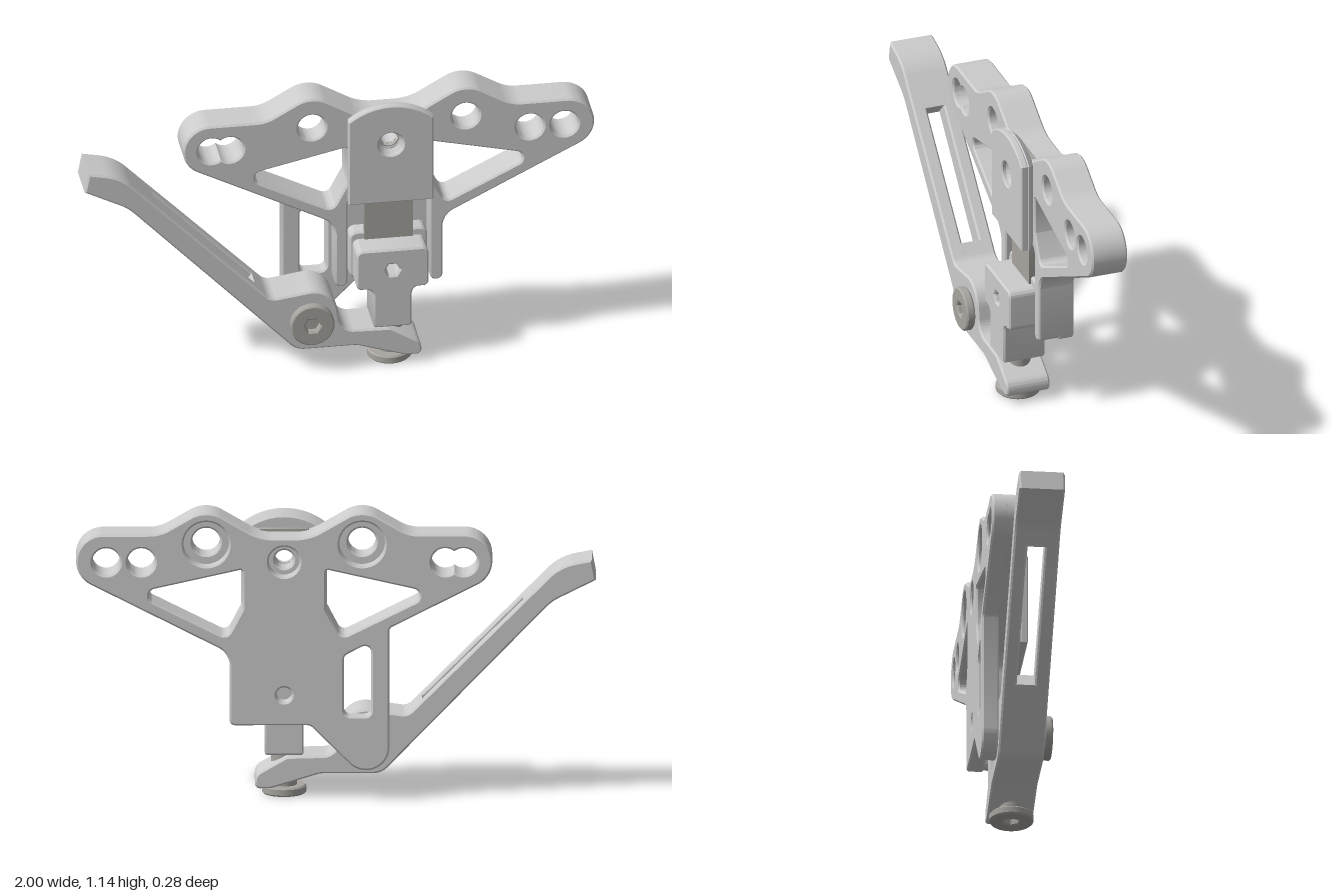
import * as THREE from 'three';
import { toCreasedNormals } from 'three/addons/utils/BufferGeometryUtils.js';

const body = new THREE.MeshStandardMaterial({ color: 0xcccccc });
const steel = new THREE.MeshStandardMaterial({ color: 0xa8a5a0 });
const MID = 0.2; // symmetry axis of the plate
const PIVOT = [-0.117, 0.215];

// Closed counter-clockwise path through [x, y, radius] corners, each filleted by its radius
function rounded(corners, path = new THREE.Shape()) {
  const area = THREE.ShapeUtils.area(corners.map(([x, y]) => ({ x, y })));
  const points = area < 0 ? [...corners].reverse() : corners;
  const n = points.length;
  points.forEach(([x, y, r = 0], i) => {
    const p = new THREE.Vector2(x, y);
    const toward = (q) => new THREE.Vector2(q[0], q[1]).sub(p).normalize();
    const u = toward(points[(i + n - 1) % n]), v = toward(points[(i + 1) % n]);
    const half = Math.acos(THREE.MathUtils.clamp(u.dot(v), -1, 1)) / 2;
    const t = r / Math.tan(half);
    const a = p.clone().addScaledVector(u, t), b = p.clone().addScaledVector(v, t);
    if (i === 0) path.moveTo(a.x, a.y);
    else path.lineTo(a.x, a.y);
    if (r > 0) {
      const c = p.clone().addScaledVector(u.clone().add(v).normalize(), r / Math.sin(half));
      path.absarc(c.x, c.y, r, Math.atan2(a.y - c.y, a.x - c.x),
        Math.atan2(b.y - c.y, b.x - c.x), u.cross(v) > 0);
    }
  });
  path.closePath();
  return path;
}

const hole = (points) => rounded(points, new THREE.Path());
const circle = (x, y, r, path = new THREE.Path()) => path.absarc(x, y, r, 0, Math.PI * 2, false);
const rect = (x0, y0, x1, y1, r) => rounded([[x0, y0, r], [x1, y0, r], [x1, y1, r], [x0, y1, r]]);
const hexagon = (x, y, r) => hole(Array.from({ length: 6 }, (_, i) =>
  [x + r * Math.cos((i * Math.PI) / 3), y + r * Math.sin((i * Math.PI) / 3)]));
const right = (pts) => pts.map(([d, y, r]) => [MID + d, y, r]);
const left = (pts) => pts.map(([d, y, r]) => [MID - d, y, r]).reverse();

// Extruded part between two depths, with edges chamfered inward
function slab(name, shape, z0, z1, bevel = 0.007, material = body, bevelDepth = bevel) {
  const geometry = new THREE.ExtrudeGeometry(shape, {
    depth: z1 - z0 - 2 * bevelDepth, curveSegments: 16, bevelEnabled: bevel > 0,
    bevelSize: bevel, bevelOffset: -bevel, bevelThickness: bevelDepth, bevelSegments: 1,
  });
  geometry.translate(0, 0, z0 + bevelDepth);
  const mesh = new THREE.Mesh(toCreasedNormals(geometry, 0.6), material);
  mesh.name = name;
  return mesh;
}

// Screw along z: a head with a hex socket over a solid shank
function screw(name, radius, headDepth, shankRadius, shankLength) {
  const group = new THREE.Group();
  group.name = name;
  const head = circle(0, 0, radius, new THREE.Shape());
  head.holes.push(hexagon(0, 0, radius * 0.36));
  const shank = new THREE.Mesh(new THREE.CylinderGeometry(shankRadius, shankRadius, shankLength, 32), steel);
  shank.name = name + 'Shank';
  shank.rotation.x = Math.PI / 2;
  shank.position.z = -shankLength / 2 + headDepth * 0.2;
  group.add(slab(name + 'Head', head, 0, headDepth, 0.006, steel), shank);
  return group;
}

function keyhole() {
  const p = new THREE.Path(), a = 0.88;
  p.absarc(-0.49, 0.947, 0.054, a, Math.PI * 2 - a, false);
  p.absarc(-0.42, 0.947, 0.054, Math.PI + a, Math.PI * 3 - a, false);
  p.closePath();
  return p;
}

function plateHoles(shape, boreRadius, centreRadius) {
  const win = [[0.16, 0.917, 0.01], [0.576, 0.823, 0.028], [0.22, 0.645, 0.03], [0.16, 0.76, 0.02]];
  shape.holes.push(hole(right(win)), hole(left(win)),
    circle(-0.1, 1.017, boreRadius), circle(0.5, 1.017, boreRadius),
    circle(MID, 0.947, centreRadius), circle(0.75, 0.947, 0.054), circle(0.885, 0.947, 0.054), keyhole());
  return shape;
}

function mountingPlate() {
  const group = new THREE.Group();
  group.name = 'mountingPlate';
  const wing = [[0.095, 1.04, 0.2], [0.3, 1.1586, 0.12], [0.48, 1.055, 0.15],
    [1.134, 1.055, 0.105], [0.21, 0.585, 0.08]];
  // Front layer: wings and two guide rails around an open channel
  const rails = [...wing, [0.21, 0.305, 0.024], [0.16, 0.305, 0.024], [0.16, 0.7, 0.04]];
  const front = plateHoles(rounded([...right(rails), ...left(rails)]), 0.054, 0.036);
  // Back layer: closed channel floor and slotted pivot strut
  const back = plateHoles(rounded([...right([...wing, [0.21, 0.3, 0.02]]),
    [0.1, 0.3, 0.03], [-0.205, -0.005, 0.09], [-0.205, 0.684, 0.02],
    ...left(wing).slice(1)]), 0.088, 0.06);
  back.holes.push(
    hole([[-0.135, 0.335, 0.025], [-0.03, 0.335, 0.025], [-0.03, 0.575, 0.025], [-0.135, 0.63, 0.025]]),
    circle(MID, 0.42, 0.03));
  group.add(slab('plateFront', front, -0.09, 0.01), slab('plateBack', back, -0.135, -0.07));
  return group;
}

function clampTongue() {
  const group = new THREE.Group();
  group.name = 'clampTongue';
  const a = Math.acos(0.165 / 0.257);
  const shape = new THREE.Shape();
  shape.moveTo(0.035, 0.692);
  shape.lineTo(0.365, 0.692);
  shape.absarc(MID, 0.858, 0.257, a, Math.PI - a, false);
  shape.closePath();
  const rear = shape.clone();
  shape.holes.push(circle(MID, 0.947, 0.05));
  rear.holes.push(circle(MID, 0.947, 0.036));
  group.add(slab('tongueFace', shape, 0.036, 0.066, 0.005),
    slab('tongueTaper', rear, 0.006, 0.06, 0.024, body, 0.0265));
  return group;
}

function slider() {
  const group = new THREE.Group();
  group.name = 'slider';
  const tee = rounded([[0.125, 0.165, 0.012], [0.275, 0.165, 0.012], [0.275, 0.335, 0.03], [0.34, 0.335, 0.02],
    [0.34, 0.505, 0.025], [0.06, 0.505, 0.025], [0.06, 0.335, 0.02], [0.125, 0.335, 0.03]]);
  tee.holes.push(hexagon(MID, 0.415, 0.028));
  const blade = rect(0.105, 0.45, 0.295, 1.05, 0.004);
  blade.holes.push(circle(MID, 0.947, 0.036));
  group.add(slab('sliderBlock', tee, -0.065, 0.105),
    slab('sliderGuide', rect(0.048, 0.33, 0.352, 0.535, 0.03), -0.068, 0.0),
    slab('slidingBlade', blade, -0.02, 0.008, 0, steel));
  return group;
}

function lever() {
  const group = new THREE.Group();
  group.name = 'lever';
  const tipTop = [[-0.985, 0.94], [-0.86, 0.915, 0.2]];
  const tipBottom = [[-0.83, 0.775, 0.2], [-1, 0.86]];
  const hub = [[-0.275, 0.325, 0.05], [-0.03, 0.36, 0.1], [0, 0.165, 0.06], [0.19, 0.16, 0.04],
    [0.31, 0.09, 0.04], [0.315, 0.035, 0.02], [0.25, 0.036, 0.02], [0.06, 0.095, 0.1], [-0.175, 0.095, 0.08]];
  const full = rounded([...tipTop, ...hub, ...tipBottom]);
  // Two cheeks, joined at tip and hub so that a slot runs between them
  group.add(slab('backCheek', full, -0.072, -0.02), slab('frontCheek', full, 0.05, 0.105),
    slab('tipWeb', rounded([...tipTop, [-0.72, 0.774], [-0.775, 0.718], ...tipBottom]), -0.04, 0.07, 0),
    slab('hubWeb', rounded([[-0.33, 0.38], ...hub, [-0.385, 0.313]]), -0.04, 0.07, 0));
  return group;
}

export function createModel() {
  const model = new THREE.Group();
  model.name = 'leverClampBracket';
  const pivot = screw('pivotScrew', 0.086, 0.035, 0.05, 0.2);
  pivot.position.set(...PIVOT, 0.105);
  // Adjuster points downward through the lever toe
  const adjuster = screw('adjusterScrew', 0.086, 0.034, 0.05, 0.14);
  adjuster.rotation.x = Math.PI / 2;
  adjuster.position.set(MID, 0.034, 0.018);
  model.add(mountingPlate(), clampTongue(), slider(), lever(), pivot, adjuster);
  return model;
}
